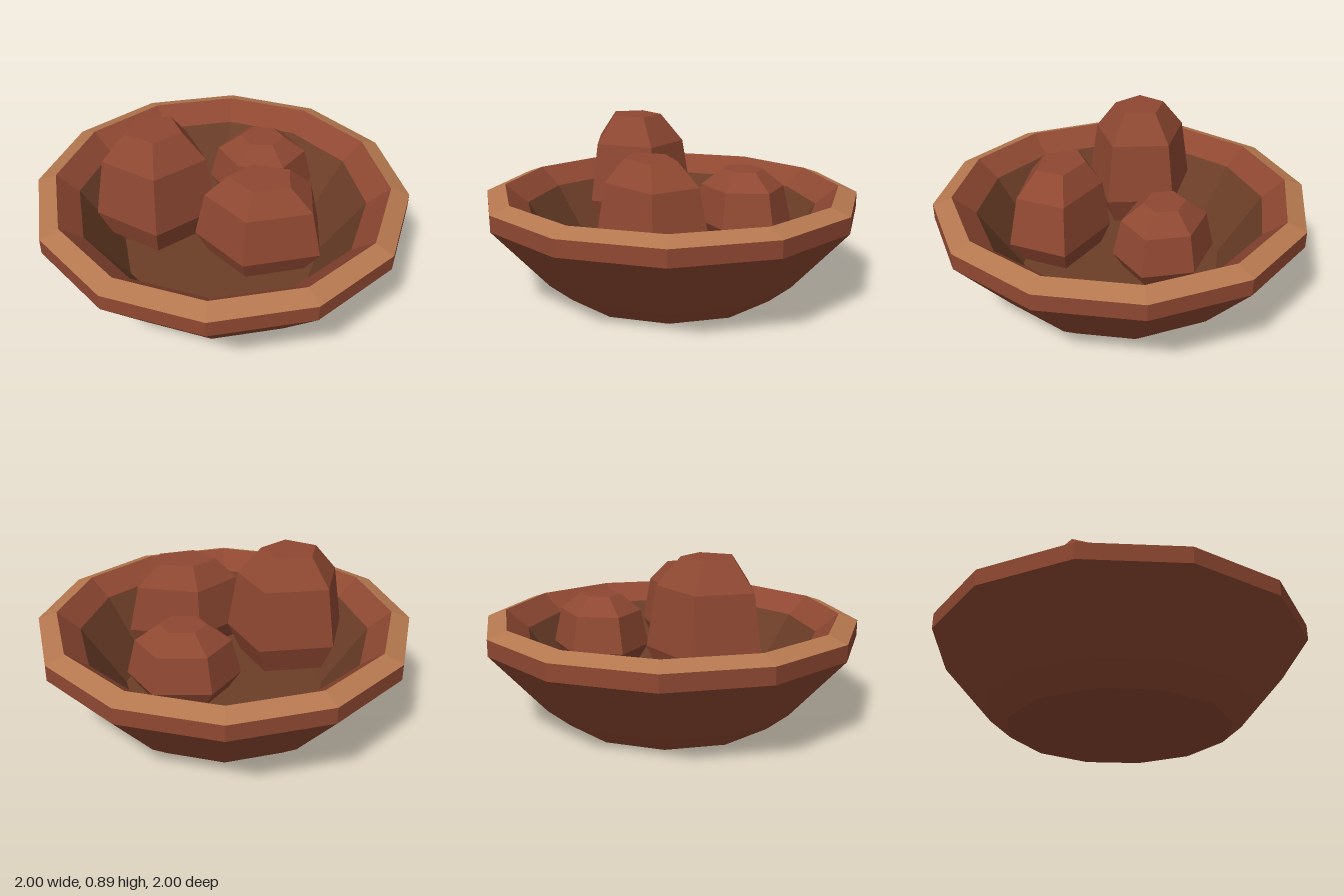
import * as THREE from 'three';

const mat = (name, color) => Object.assign(new THREE.MeshStandardMaterial({ color }), { name });

// Faceted twelve-sided ring of the bowl from a [radius, y] profile
function ring(name, profile, material) {
  const pts = profile.map(([r, y]) => new THREE.Vector2(r, y));
  const geo = new THREE.LatheGeometry(pts, 12).toNonIndexed();
  geo.computeVertexNormals();
  const mesh = new THREE.Mesh(geo, material);
  mesh.name = name;
  return mesh;
}

// Faceted lump: one outline scaled about its centre at several heights
function lump(name, [cx, cz], outline, bottom, top, topScale, material) {
  const levels = [[0, 0], [0, 0.78], [0.25, 1], [0.76, 0.84], [1, topScale], [1, 0]];
  const at = (level, i) => {
    const [f, s] = levels[level];
    const [x, z] = outline[i % outline.length];
    return [cx + (x - cx) * s, bottom + (top - bottom) * f, cz + (z - cz) * s];
  };
  const v = [];
  for (let l = 0; l < levels.length - 1; l++) {
    for (let i = 0; i < outline.length; i++) {
      const a = at(l, i), b = at(l, i + 1), c = at(l + 1, i + 1), d = at(l + 1, i);
      if (levels[l][1] > 0) v.push(...a, ...d, ...b);
      if (levels[l + 1][1] > 0) v.push(...b, ...d, ...c);
    }
  }
  const geo = new THREE.BufferGeometry();
  geo.setAttribute('position', new THREE.Float32BufferAttribute(v, 3));
  geo.computeVertexNormals();
  const mesh = new THREE.Mesh(geo, material);
  mesh.name = name;
  return mesh;
}

export function createModel() {
  const clay = mat('red clay', 0x8f4832);
  const rim = mat('tan rim', 0xb5784f);
  const inside = mat('brown inside', 0x6c3e28);

  const model = new THREE.Group();
  model.name = 'bowlWithLumps';

  // Bowl
  const bowl = new THREE.Group();
  bowl.name = 'bowl';
  bowl.add(
    ring('outerShell', [[0, 0], [0.59, 0], [0.71, 0.1], [1, 0.43], [1, 0.515]], clay),
    ring('rim', [[1, 0.515], [0.9, 0.55]], rim),
    ring('innerLip', [[0.9, 0.55], [0.78, 0.45]], clay),
    ring('innerWallAndFloor', [[0.78, 0.45], [0.55, 0.11], [0, 0.11]], inside),
  );
  model.add(bowl);

  // Three lumps inside the bowl
  model.add(
    lump('tallLump', [-0.345, 0.045],
      [[-0.57, -0.18], [-0.18, -0.23], [-0.02, 0.09], [-0.31, 0.335], [-0.65, 0.16]],
      0.28, 0.895, 0.46, clay),
    lump('middleLump', [0.2, 0.235],
      [[0.13, 0.01], [0.52, 0.08], [0.525, 0.39], [0.14, 0.5], [-0.12, 0.25]],
      0.28, 0.76, 0.48, clay),
    lump('smallLump', [0.205, -0.322],
      [[-0.085, -0.322], [0.06, -0.54], [0.35, -0.54], [0.495, -0.322], [0.35, -0.105], [0.06, -0.105]],
      0.28, 0.645, 0.42, clay),
  );
  return model;
}
